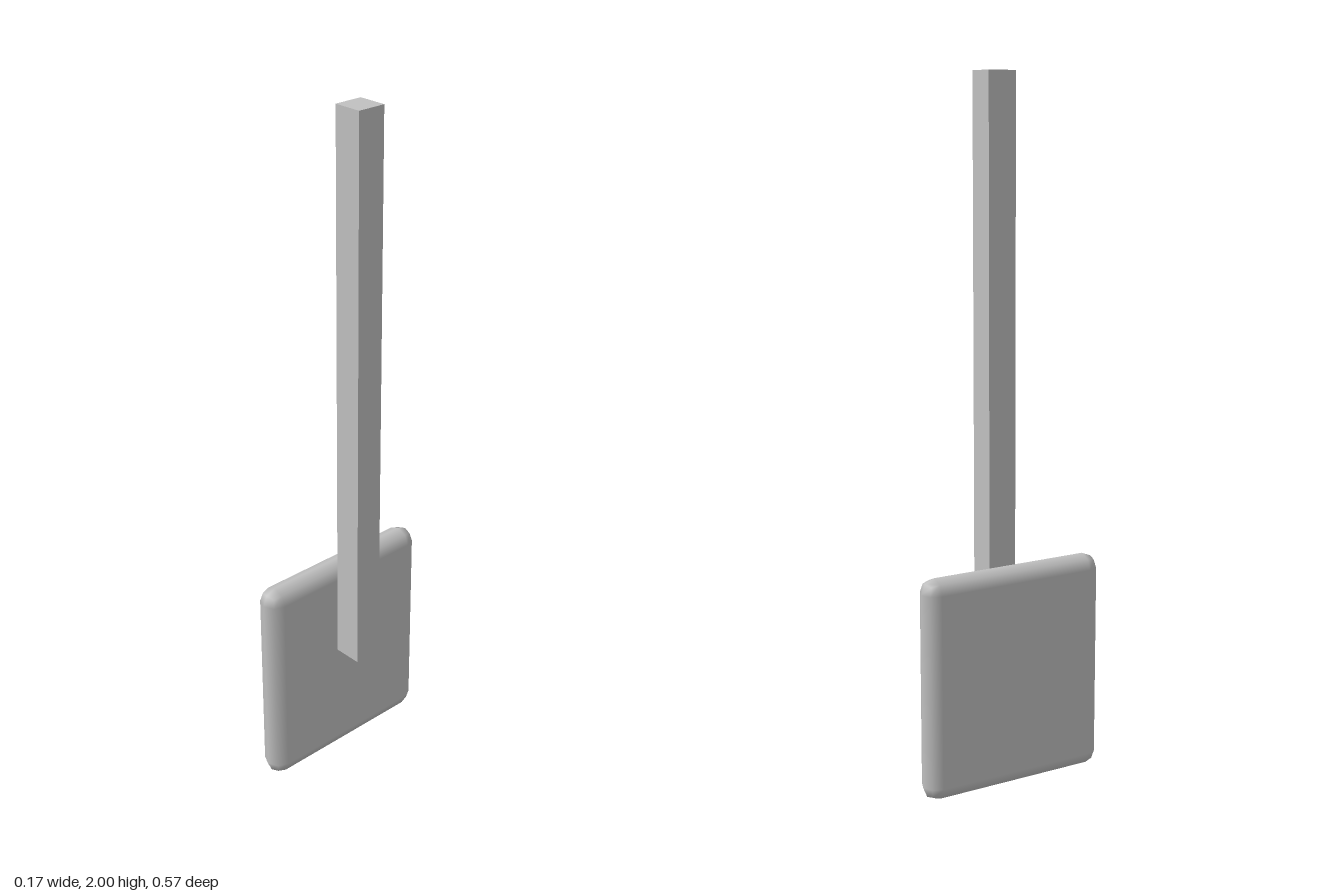
import * as THREE from 'three';
import { RoundedBoxGeometry } from 'three/addons/geometries/RoundedBoxGeometry.js';

export function createModel() {
  const model = new THREE.Group();
  model.name = 'paddle';

  const grey = new THREE.MeshStandardMaterial({ color: 0xc0c0c0 });
  grey.name = 'plain grey';

  const thickness = 0.085;
  const bladeHeight = 0.645;
  const handleBottom = 0.36;
  const handleTop = 2;

  // Blade: upright slab with one-step rounded edges
  const blade = new THREE.Mesh(
    new RoundedBoxGeometry(thickness, bladeHeight, 0.57, 1, thickness / 2),
    grey
  );
  blade.name = 'blade';
  blade.position.set(-thickness / 2, bladeHeight / 2, 0);

  // Handle: square post lying against the blade's left face
  const handle = new THREE.Mesh(
    new THREE.BoxGeometry(thickness, handleTop - handleBottom, thickness),
    grey
  );
  handle.name = 'handle';
  handle.position.set(thickness / 2, (handleTop + handleBottom) / 2, 0);

  model.add(blade, handle);
  return model;
}
